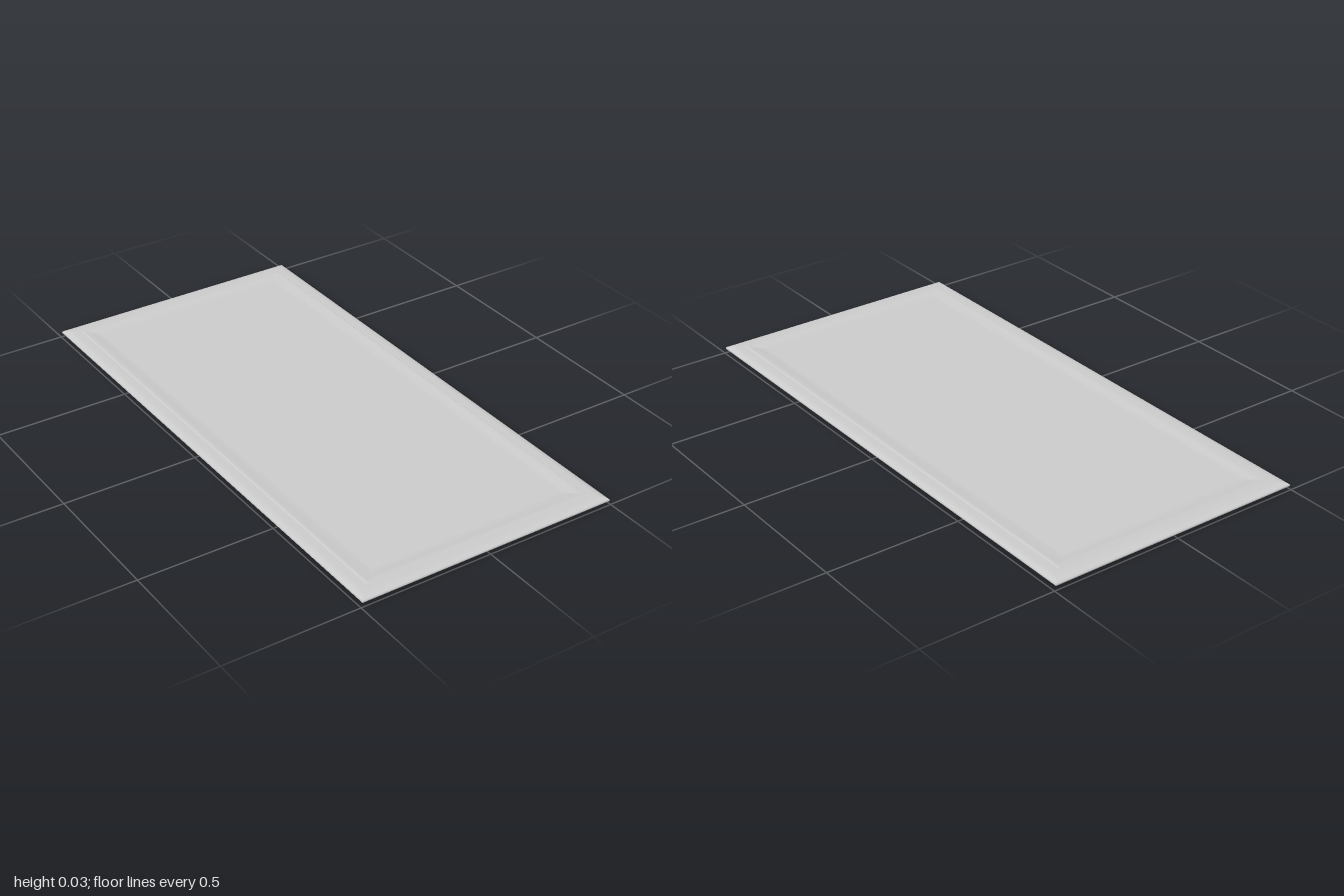
import * as THREE from 'three';
import { toCreasedNormals } from 'three/addons/utils/BufferGeometryUtils.js';

const HALF_X = 0.495, HALF_Z = 1, BORDER = 0.11;
const material = new THREE.MeshStandardMaterial({ color: 0xcccccc });

// Moulding cross-section as [distance in from the edge, height], from inner top round to inner bottom
function mouldingProfile() {
  const points = [[BORDER, 0.028], [0.085, 0.03], [0.068, 0.0335], [0.058, 0.0335], [0.054, 0.03]];
  const steps = 10;
  for (let i = 0; i <= steps; i++) {
    const a = Math.PI / 2 - (i / steps) * Math.PI;
    points.push([0.028 * (1 - Math.cos(a)), 0.0185 + 0.0115 * Math.sin(a)]);
  }
  points.push([BORDER, 0.007]);
  return points;
}

// One mitred rail running along x, with its outer edge at +z
function railGeometry(halfLength, halfDepth) {
  const positions = [], index = [];
  mouldingProfile().forEach(([inset, y], i) => {
    const x = halfLength - inset, z = halfDepth - inset;
    positions.push(-x, y, z, x, y, z);
    if (i > 0) {
      const a = 2 * (i - 1), b = a + 1, d = a + 2, c = a + 3;
      index.push(a, d, c, a, c, b);
    }
  });
  const geometry = new THREE.BufferGeometry();
  geometry.setAttribute('position', new THREE.Float32BufferAttribute(positions, 3));
  geometry.setIndex(index);
  return toCreasedNormals(geometry, Math.PI / 7);
}

export function createModel() {
  const model = new THREE.Group();
  model.name = 'framedPanel';

  // Four moulded rails meeting in mitred corners
  ['frontRail', 'leftRail', 'backRail', 'rightRail'].forEach((name, i) => {
    const geometry = i % 2 ? railGeometry(HALF_Z, HALF_X) : railGeometry(HALF_X, HALF_Z);
    const rail = new THREE.Mesh(geometry, material);
    rail.name = name;
    rail.rotation.y = i * Math.PI / 2;
    model.add(rail);
  });

  // Flat centre panel, standing slightly proud underneath
  const top = 0.028;
  const panel = new THREE.Mesh(
    new THREE.BoxGeometry(2 * (HALF_X - BORDER), top, 2 * (HALF_Z - BORDER)), material);
  panel.name = 'centrePanel';
  panel.position.y = top / 2;
  model.add(panel);

  return model;
}
